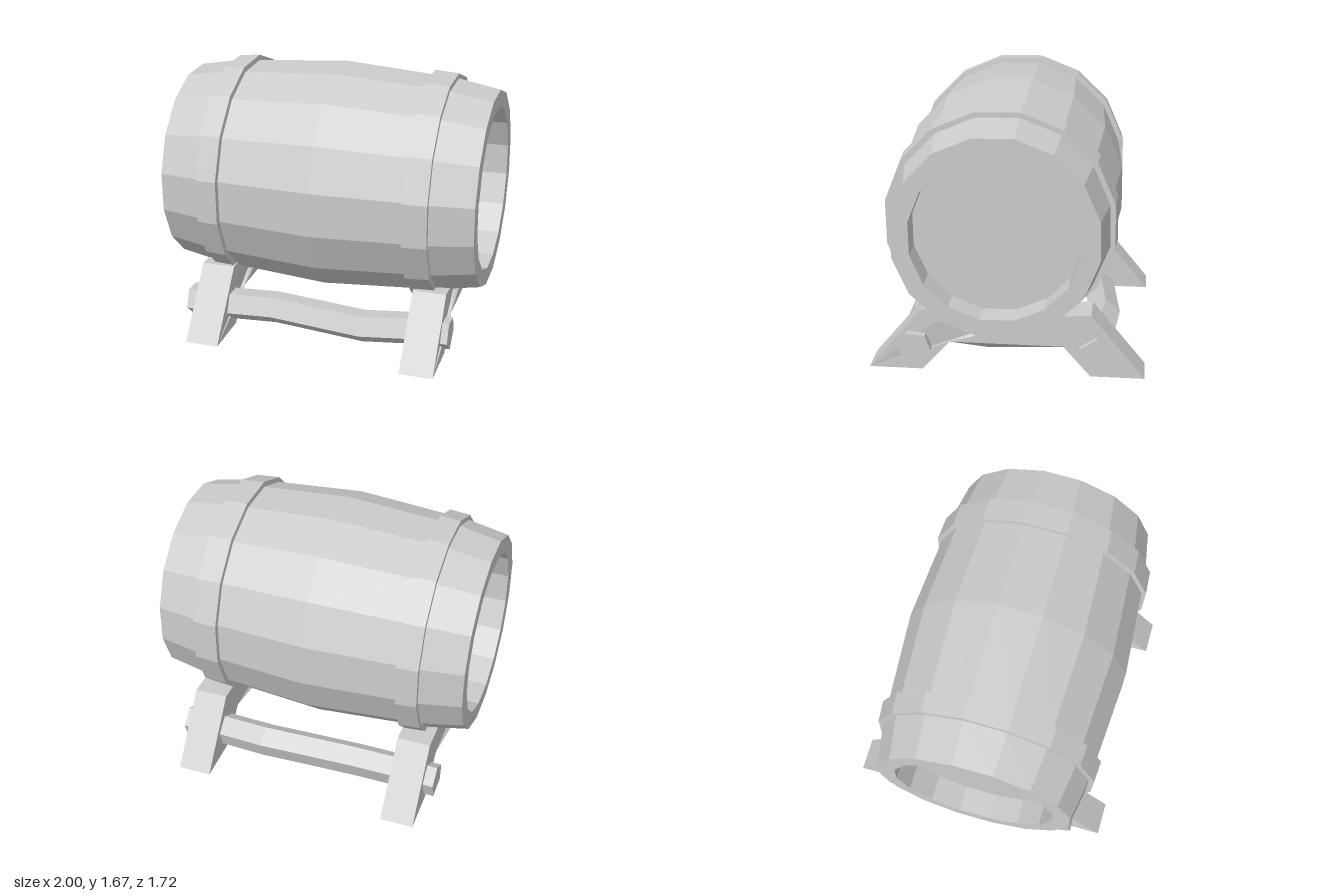
import * as THREE from 'three';

const material = new THREE.MeshStandardMaterial({ color: 0xcccccc, flatShading: true });
const openMaterial = new THREE.MeshStandardMaterial({ color: 0xcccccc, flatShading: true, side: THREE.DoubleSide });
const SIDES = 16;
const AXIS_Y = 0.954, AXIS_Z = 0.043;

function addMesh(parent, name, geometry, mat = material) {
  const mesh = new THREE.Mesh(geometry, mat);
  mesh.name = name;
  parent.add(mesh);
  return mesh;
}

// Faceted turning around the barrel's horizontal axis; profile is [radius, x]
function turned(profile) {
  const points = profile.map(([r, x]) => new THREE.Vector2(r, x));
  const geometry = new THREE.LatheGeometry(points, SIDES, THREE.MathUtils.degToRad(12.3));
  geometry.rotateZ(-Math.PI / 2);
  geometry.translate(0, AXIS_Y, AXIS_Z);
  return geometry;
}

// Five-sided rod through stations [x, y, z], with section corners as [z, y] offsets
function rod(stations, section) {
  const n = section.length, positions = [], index = [];
  for (const [x, y, z] of stations)
    for (const [dz, dy] of section) positions.push(x, y + dy, z + dz);
  for (let s = 0; s < stations.length - 1; s++)
    for (let i = 0; i < n; i++) {
      const a = s * n + i, b = s * n + (i + 1) % n;
      index.push(a, b, a + n, b, b + n, a + n);
    }
  const last = (stations.length - 1) * n;
  for (let i = 1; i < n - 1; i++) {
    index.push(0, i + 1, i);
    index.push(last, last + i, last + i + 1);
  }
  const geometry = new THREE.BufferGeometry();
  geometry.setAttribute('position', new THREE.Float32BufferAttribute(positions, 3));
  geometry.setIndex(index);
  geometry.computeVertexNormals();
  return geometry;
}

// Cradle: extruded profile with hollow feet (no soles) and its middle bowed towards -x
function cradle(shape, depth) {
  const solid = new THREE.ExtrudeGeometry(shape, { depth, bevelEnabled: false });
  solid.rotateY(Math.PI / 2);
  const p = solid.getAttribute('position'), kept = [];
  for (let i = 0; i < p.count; i += 3) {
    const corners = [i, i + 1, i + 2];
    if (corners.every((c) => Math.abs(p.getY(c)) < 1e-4)) continue;
    for (const c of corners) {
      const bow = Math.abs(p.getZ(c)) < 0.2 ? 0.035 : 0;
      kept.push(p.getX(c) - bow, p.getY(c), p.getZ(c));
    }
  }
  const geometry = new THREE.BufferGeometry();
  geometry.setAttribute('position', new THREE.Float32BufferAttribute(kept, 3));
  geometry.computeVertexNormals();
  return geometry;
}

export function createModel() {
  const model = new THREE.Group();
  model.name = 'barrelOnStand';

  // Bulging barrel with a recessed head at each end
  addMesh(model, 'barrel', turned([
    [0, -0.837], [0.522, -0.837], [0.522, -1], [0.632, -1],
    [0.68, -0.735], [0.69, -0.6], [0.732, 0], [0.69, 0.6], [0.68, 0.73],
    [0.632, 1], [0.522, 1], [0.522, 0.837], [0, 0.837],
  ]));

  // Hoops, slightly wider towards the middle
  addMesh(model, 'rightHoop', turned([[0.62, -0.735], [0.712, -0.735], [0.723, -0.602], [0.64, -0.592]]));
  addMesh(model, 'leftHoop', turned([[0.64, 0.566], [0.723, 0.575], [0.712, 0.73], [0.62, 0.73]]));

  // Cradle legs: profile in z and y; the top runs into the barrel
  const profile = [
    [0.86, 0], [0.525, 0], [0.35, 0.195], [0.11, 0.152], [-0.355, 0.195], [-0.525, 0],
    [-0.86, 0], [-0.525, 0.41], [-0.34, 0.4], [0.04, 0.315], [0.34, 0.4], [0.525, 0.41],
  ];
  const shape = new THREE.Shape(profile.map(([z, y]) => new THREE.Vector2(-z, y)));
  for (const [name, x] of [['rightCradle', -0.803], ['leftCradle', 0.603]])
    addMesh(model, name, cradle(shape, 0.214), openMaterial).position.x = x;

  // Slightly crooked stretchers that poke out through the legs; bends are [z, y] shifts
  // at x = -0.6, -0.3 and 0.3, corners run from -z over +y to +z
  const stretchers = [
    ['frontStretcher', 0.565, 0.155, [[0, 0], [-0.025, 0.002], [0.03, -0.015]],
      [[0.005, -0.098], [-0.1, -0.002], [-0.065, 0.092], [0.055, 0.102], [0.105, -0.012]]],
    ['backStretcher', -0.56, 0.17, [[0.025, -0.015], [0.03, -0.02], [-0.03, 0.02]],
      [[0.085, -0.08], [-0.065, -0.095], [-0.1, 0.02], [-0.005, 0.1], [0.105, 0.03]]],
  ];
  for (const [name, z, y, bends, section] of stretchers) {
    const bent = [-0.6, -0.3, 0.3].map((x, i) => [x, y + bends[i][1], z + bends[i][0]]);
    const stations = [[-0.87, y, z], ...bent, [0.6, y, z], [0.86, y, z]];
    addMesh(model, name, rod(stations, section));
  }

  return model;
}
